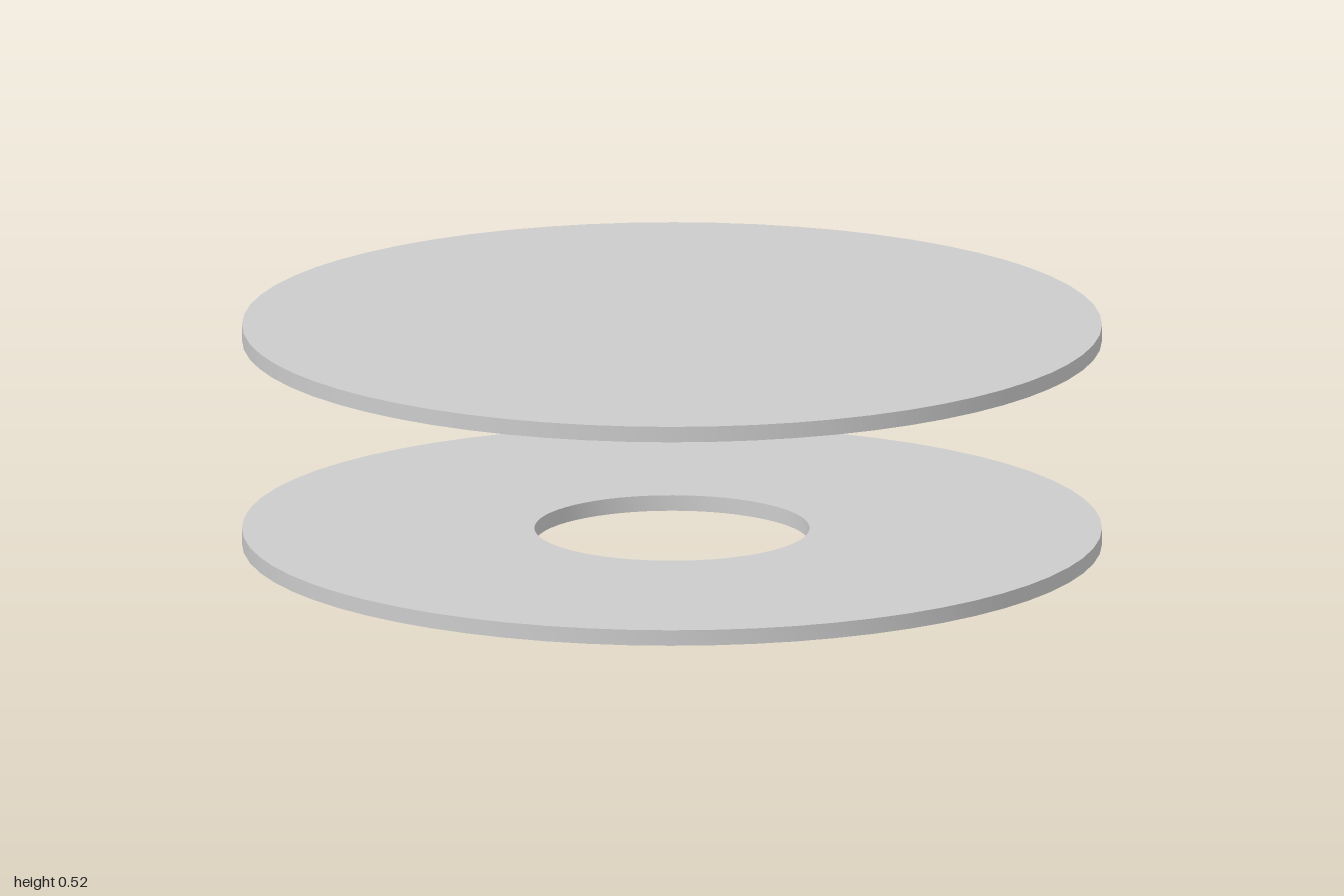
import * as THREE from 'three';
import { toCreasedNormals } from 'three/addons/utils/BufferGeometryUtils.js';

const RADIUS = 1, HOLE = 0.32, THICK = 0.037, TOP = 0.524, SEGMENTS = 64;

export function createModel() {
  const group = new THREE.Group();
  const material = new THREE.MeshStandardMaterial({ color: 0xcccccc });

  // Solid upper disc
  const upper = new THREE.Mesh(new THREE.CylinderGeometry(RADIUS, RADIUS, THICK, SEGMENTS), material);
  upper.name = 'upperDisc';
  upper.position.y = TOP - THICK / 2;
  group.add(upper);

  // Lower disc with a round central hole: rectangular section turned about y
  const section = [[HOLE, 0], [RADIUS, 0], [RADIUS, THICK], [HOLE, THICK], [HOLE, 0]]
    .map(([r, y]) => new THREE.Vector2(r, y));
  const ring = toCreasedNormals(new THREE.LatheGeometry(section, SEGMENTS), Math.PI / 6);
  const lower = new THREE.Mesh(ring, material);
  lower.name = 'lowerRing';
  group.add(lower);

  return group;
}
